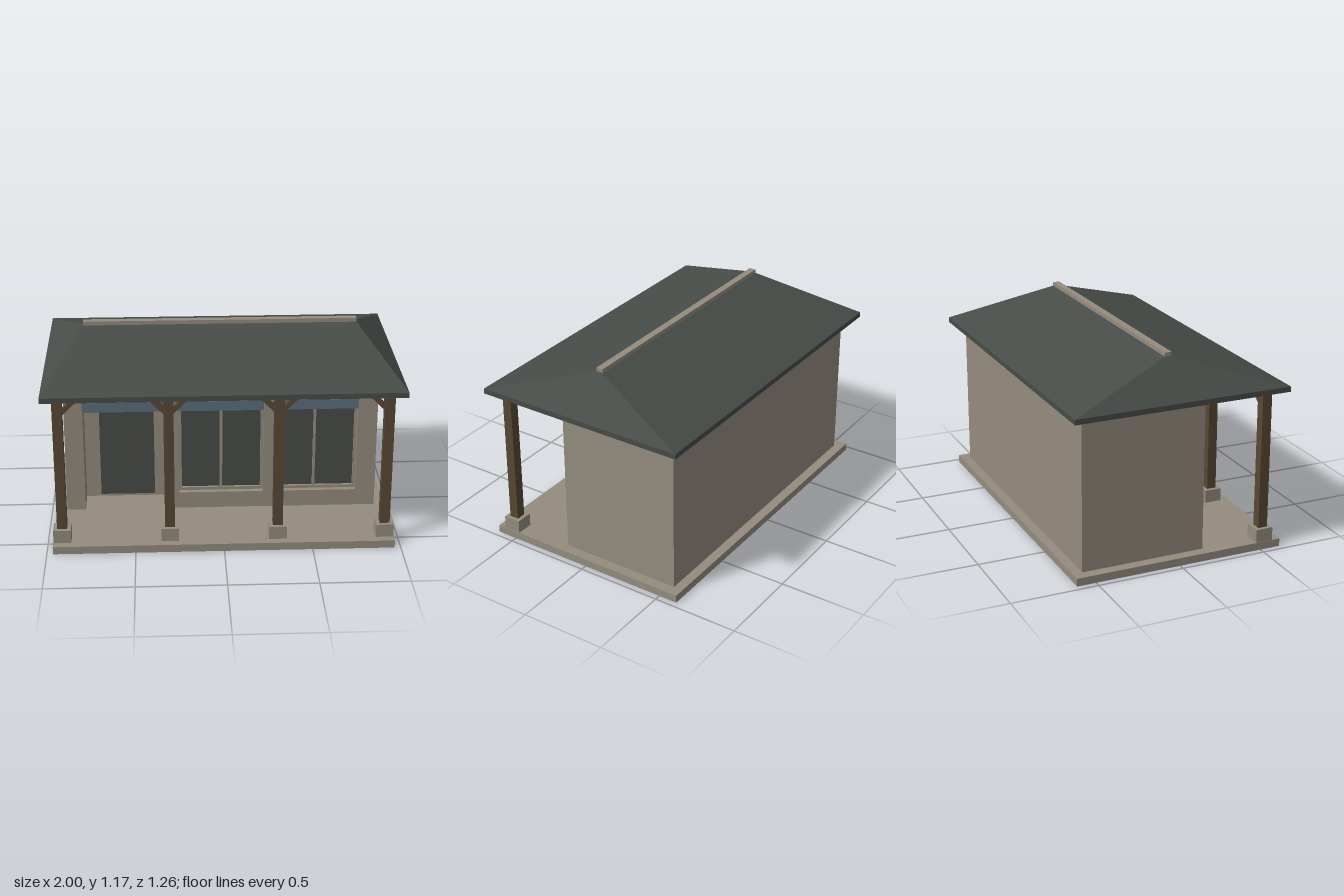
import * as THREE from 'three';

function material(name, color) {
  const m = new THREE.MeshStandardMaterial({ color });
  m.name = name;
  return m;
}

export function createModel() {
  const house = new THREE.Group();
  house.name = 'verandaHouse';
  const plaster = material('plaster', 0x958c7e);
  const slate = material('darkSlate', 0x474c48);
  const timber = material('timber', 0x574833);
  const blue = material('shutterBlue', 0x5a6f7d);

  const add = (name, geometry, mat, parent = house) => {
    const mesh = new THREE.Mesh(geometry, mat);
    mesh.name = name;
    parent.add(mesh);
    return mesh;
  };
  // Box given by its limits on each axis
  const box = (name, mat, [x0, x1], [y0, y1], [z0, z1], parent) => {
    const g = new THREE.BoxGeometry(x1 - x0, y1 - y0, z1 - z0);
    g.translate((x0 + x1) / 2, (y0 + y1) / 2, (z0 + z1) / 2);
    return add(name, g, mat, parent);
  };
  const group = (name) => {
    const g = new THREE.Group();
    g.name = name;
    house.add(g);
    return g;
  };

  const floorY = 0.045, wallTop = 0.925, wallX = 0.905, wallZ = 0.165, recessZ = -0.01;
  const openTop = 0.733, half = 0.245;

  // Floor slab and main body
  box('floorSlab', plaster, [-0.965, 0.965], [0, floorY], [-0.61, 0.62]);
  box('mainBody', plaster, [-wallX, wallX], [floorY, wallTop], [-0.555, recessZ]);

  // Front wall with a doorway notch and two window holes
  const wall = new THREE.Shape([
    [-wallX, floorY], [-0.797, floorY], [-0.797, openTop], [-0.31, openTop], [-0.31, floorY],
    [wallX, floorY], [wallX, wallTop], [-wallX, wallTop],
  ].map(([x, y]) => new THREE.Vector2(x, y)));
  const windowCentres = [0, 0.545];
  for (const c of windowCentres) {
    wall.holes.push(new THREE.Path([
      [c - half, 0.145], [c - half, openTop], [c + half, openTop], [c + half, 0.145],
    ].map(([x, y]) => new THREE.Vector2(x, y))));
  }
  const wallGeo = new THREE.ExtrudeGeometry(wall, { depth: wallZ - recessZ, bevelEnabled: false });
  wallGeo.translate(0, 0, recessZ);
  add('frontWall', wallGeo, plaster);
  box('wallTopTrim', plaster, [-0.915, 0.915], [0.915, 0.928], [0.128, 0.22]);

  // Windows: frame, centre bar and glass set back in the wall
  for (const c of windowCentres) {
    const w = group('window');
    const z = [recessZ, 0.135];
    box('windowGlass', slate, [c - half, c + half], [0.145, openTop], [recessZ, 0.12], w);
    for (const s of [-1, 1]) {
      const x = c + s * (half - 0.0075);
      box('windowJamb', plaster, [x - 0.0075, x + 0.0075], [0.145, openTop], z, w);
    }
    box('windowSill', plaster, [c - half, c + half], [0.145, 0.163], z, w);
    box('windowBar', plaster, [c - 0.0075, c + 0.0075], [0.163, openTop], z, w);
  }

  // Glazed door at the back of the recess
  const door = group('door');
  box('doorGlass', slate, [-0.71, -0.39], [0.06, 0.7], [recessZ, recessZ + 0.006], door);
  box('doorHandle', timber, [-0.459, -0.451], [0.315, 0.4], [recessZ, 0.015], door);

  // Blue shutter boxes over the three openings
  for (const c of [-0.553, ...windowCentres]) {
    box('shutterBox', blue, [c - half, c + half], [0.672, 0.731], [0.1, 0.18]);
  }

  // Veranda posts on stone feet, with diagonal braces
  const postZ = 0.523;
  const postXs = [-0.913, -0.305, 0.305, 0.913];
  postXs.forEach((px, i) => {
    const p = group('verandaPost');
    box('postFoot', plaster, [px - 0.05, px + 0.05], [floorY, 0.122], [postZ - 0.05, postZ + 0.05], p);
    box('post', timber, [px - 0.028, px + 0.028], [0.122, 0.925], [postZ - 0.0275, postZ + 0.0275], p);
    for (const s of [-1, 1]) {
      if ((i === 0 && s < 0) || (i === 3 && s > 0)) continue;
      const brace = new THREE.Shape([
        [0.026, 0.812], [0.026, 0.85], [0.079, 0.903], [0.117, 0.903],
      ].map(([x, y]) => new THREE.Vector2(px + s * x, y)));
      const g = new THREE.ExtrudeGeometry(brace, { depth: 0.03, bevelEnabled: false });
      g.translate(0, 0, postZ - 0.015);
      add('brace', g, timber, p);
    }
  });
  box('verandaBeam', timber, [-0.94, 0.94], [0.9, 0.926], [postZ - 0.024, postZ + 0.024]);

  // Hipped roof: eave slab topped by a box whose upper edge is drawn in to the ridge
  box('roofEave', slate, [-1, 1], [0.925, 0.955], [-0.63, 0.63]);
  const hip = new THREE.BoxGeometry(2, 0.195, 1.26);
  const pos = hip.attributes.position;
  for (let i = 0; i < pos.count; i++) {
    if (pos.getY(i) > 0) {
      pos.setX(i, Math.sign(pos.getX(i)) * 0.775);
      pos.setZ(i, Math.sign(pos.getZ(i)) * 0.001);
    }
  }
  hip.translate(0, 0.955 + 0.0975, 0);
  hip.computeVertexNormals();
  add('hippedRoof', hip, slate);
  box('ridgeCap', plaster, [-0.78, 0.78], [1.138, 1.167], [-0.02, 0.02]);

  return house;
}
